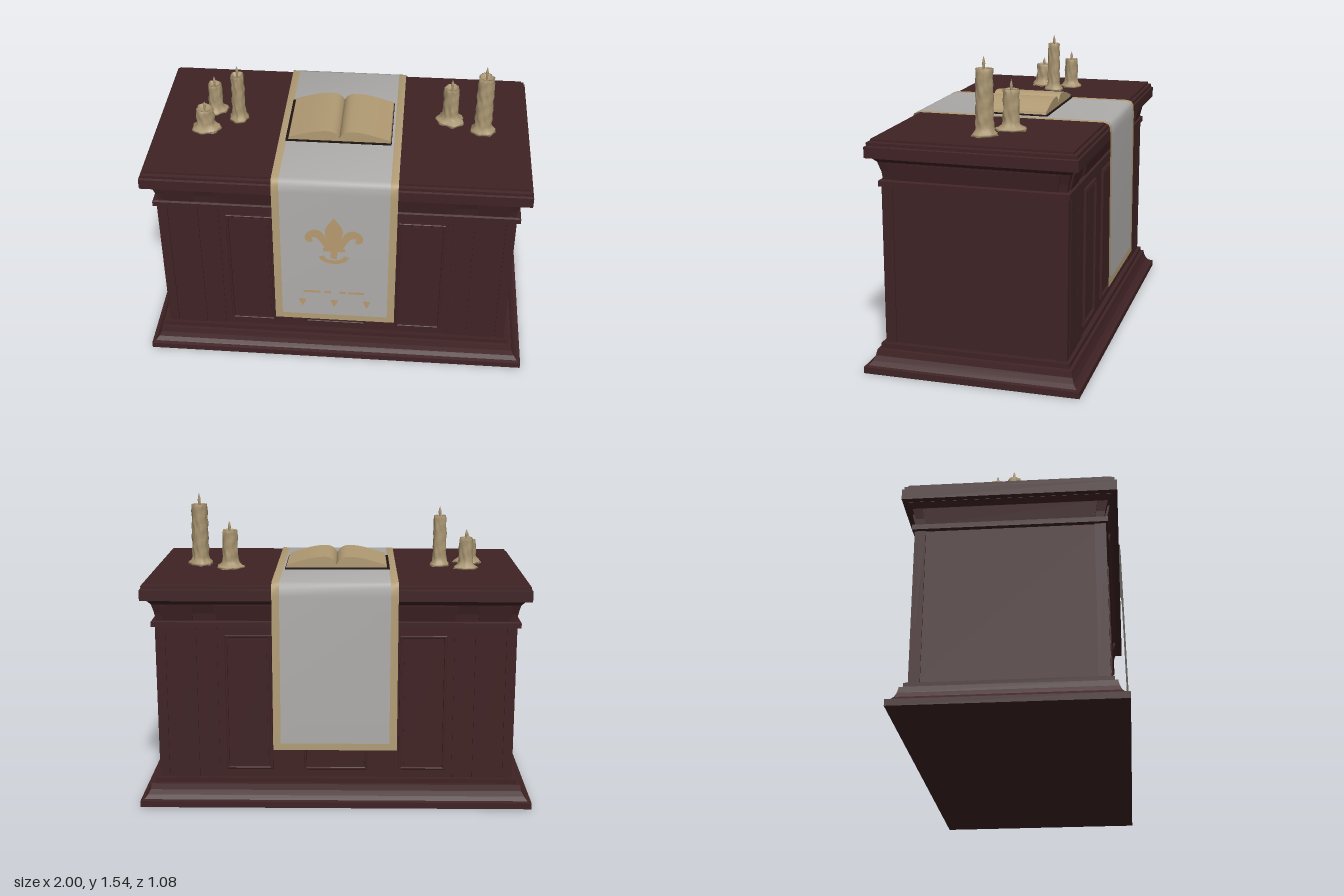
import * as THREE from 'three';
import { toCreasedNormals } from 'three/addons/utils/BufferGeometryUtils.js';

const mat = (name, color, side = THREE.FrontSide) => {
  const m = new THREE.MeshStandardMaterial({ color, side });
  m.name = name;
  return m;
};
const WOOD = mat('dark wood', 0x402325);
const CLOTH = mat('white cloth', 0xaeacaa, THREE.DoubleSide);
const GOLD = mat('gold trim', 0xb29d76, THREE.DoubleSide);
const EMBLEM = mat('emblem gold', 0xb89b70, THREE.DoubleSide);
const WAX = mat('wax', 0xaa9672);
const PAGE = mat('paper', 0xb29b74);
const COVER = mat('book cover', 0x1f1613);

function add(parent, name, geo, material) {
  const m = new THREE.Mesh(geo, material);
  m.name = name;
  parent.add(m);
  return m;
}

// Flat-faced solid through rectangles [x0, x1, z0, z1, y], bottom to top
function loft(rings) {
  const p = [];
  const corners = ([x0, x1, z0, z1, y]) => [[x0, y, z1], [x1, y, z1], [x1, y, z0], [x0, y, z0]];
  const quad = (a, b, c, d) => p.push(...a, ...b, ...c, ...a, ...c, ...d);
  for (let i = 0; i < rings.length - 1; i++) {
    const a = corners(rings[i]), b = corners(rings[i + 1]);
    for (let k = 0; k < 4; k++) quad(a[k], a[(k + 1) % 4], b[(k + 1) % 4], b[k]);
  }
  const lo = corners(rings[0]), hi = corners(rings[rings.length - 1]);
  quad(lo[3], lo[2], lo[1], lo[0]);
  quad(...hi);
  const g = new THREE.BufferGeometry();
  g.setAttribute('position', new THREE.Float32BufferAttribute(p, 3));
  g.computeVertexNormals();
  return g;
}
const centred = (list) => loft(list.map(([x, z, y]) => [-x, x, -z, z, y]));

function rectPath(target, x0, x1, y0, y1) {
  target.moveTo(x0, y0).lineTo(x1, y0).lineTo(x1, y1).lineTo(x0, y1).closePath();
  return target;
}

// Panels, pilasters and frieze blocks of one long face, built facing +z
function longFace() {
  const g = new THREE.Group();
  for (const x of [-0.44, 0, 0.44]) {
    const w = x ? 0.118 : 0.162;
    const s = rectPath(new THREE.Shape(), x - w, x + w, 0.18, 0.89);
    s.holes.push(rectPath(new THREE.Path(), x - w + 0.013, x + w - 0.013, 0.193, 0.877));
    const frame = add(g, 'panelFrame', new THREE.ExtrudeGeometry(s, {
      depth: 0.01, bevelThickness: 0.003, bevelSize: 0.003, bevelOffset: -0.003, bevelSegments: 1,
    }), WOOD);
    frame.position.z = 0.449;
    add(g, 'panelField', loft([[x - w + 0.025, x + w - 0.025, 0.44, 0.454, 0.205],
      [x - w + 0.025, x + w - 0.025, 0.44, 0.454, 0.865]]), WOOD);
  }
  for (const s of [-1, 1]) {
    const span = (a, b) => (s > 0 ? [a, b] : [-b, -a]);
    add(g, 'cornerPost', loft([[...span(0.855, 0.905), 0.44, 0.457, 0.13], [...span(0.855, 0.905), 0.44, 0.457, 0.94]]), WOOD);
    add(g, 'pilaster', loft([[...span(0.7, 0.845), 0.44, 0.457, 0.13], [...span(0.7, 0.845), 0.44, 0.457, 0.94]]), WOOD);
    add(g, 'stile', loft([[...span(0.595, 0.69), 0.44, 0.455, 0.13], [...span(0.595, 0.69), 0.44, 0.455, 0.94]]), WOOD);
    add(g, 'friezeBlock', loft([[...span(0.715, 0.865), 0.43, 0.458, 0.965],
      [...span(0.705, 0.875), 0.43, 0.477, 1.045]]), WOOD);
  }
  add(g, 'friezePanel', loft([[-0.59, 0.59, 0.43, 0.458, 0.965], [-0.61, 0.61, 0.43, 0.477, 1.045]]), WOOD);
  return g;
}

// Strip of cloth between x0 and x1 along [z, y] points
function ribbon(path, x0, x1) {
  const p = [], idx = [];
  path.forEach(([z, y], i) => {
    p.push(x0, y, z, x1, y, z);
    if (i) idx.push(2 * i - 2, 2 * i - 1, 2 * i + 1, 2 * i - 2, 2 * i + 1, 2 * i);
  });
  const g = new THREE.BufferGeometry();
  g.setAttribute('position', new THREE.Float32BufferAttribute(p, 3));
  g.setIndex(idx);
  return toCreasedNormals(g, 0.9);
}

const drapeZ = (y) => 0.538 - (y - 0.28) * 0.0158;

// Embroidery on the front drape
function embroidery() {
  const shapes = [];
  const petal = new THREE.Shape();
  petal.moveTo(0, 0.96).bezierCurveTo(0.025, 0.92, 0.05, 0.9, 0.045, 0.86)
    .bezierCurveTo(0.04, 0.82, 0.018, 0.8, 0.016, 0.7).lineTo(-0.016, 0.7)
    .bezierCurveTo(-0.018, 0.8, -0.04, 0.82, -0.045, 0.86).bezierCurveTo(-0.05, 0.9, -0.025, 0.92, 0, 0.96);
  shapes.push(petal);
  for (const s of [-1, 1]) {
    const leaf = new THREE.Shape();
    leaf.moveTo(0.022 * s, 0.765).bezierCurveTo(0.035 * s, 0.85, 0.07 * s, 0.895, 0.11 * s, 0.88)
      .bezierCurveTo(0.155 * s, 0.86, 0.16 * s, 0.81, 0.125 * s, 0.8)
      .bezierCurveTo(0.11 * s, 0.8, 0.1 * s, 0.81, 0.115 * s, 0.83)
      .bezierCurveTo(0.085 * s, 0.85, 0.065 * s, 0.8, 0.045 * s, 0.765);
    const foot = new THREE.Shape();
    foot.moveTo(0, 0.69).bezierCurveTo(0.025 * s, 0.69, 0.05 * s, 0.7, 0.05 * s, 0.72)
      .lineTo(0.078 * s, 0.71).bezierCurveTo(0.07 * s, 0.68, 0.03 * s, 0.665, 0, 0.665);
    shapes.push(leaf, foot);
  }
  shapes.push(rectPath(new THREE.Shape(), -0.055, 0.055, 0.745, 0.768));
  // Row of dashes and small drops near the hem
  for (const [x, w] of [[-0.115, 0.045], [-0.035, 0.018], [0.045, 0.018], [0.115, 0.04]]) {
    shapes.push(rectPath(new THREE.Shape(), x - w, x + w, 0.465, 0.48));
  }
  for (const x of [-0.165, 0, 0.17]) {
    const drop = new THREE.Shape();
    drop.moveTo(x, 0.37).lineTo(x + 0.014, 0.4).lineTo(x + 0.02, 0.42).lineTo(x - 0.02, 0.42).lineTo(x - 0.014, 0.4);
    shapes.push(drop);
  }
  const g = new THREE.ShapeGeometry(shapes, 8);
  const p = g.attributes.position;
  for (let i = 0; i < p.count; i++) p.setZ(i, drapeZ(p.getY(i)) + 0.002);
  return g;
}

// Half-melted candle with a wax puddle, drips and a pointed wick
function candle(x, z, r, top, tip, puddle, seed) {
  const g = new THREE.Group();
  g.name = 'candle';
  const h = top - 1.165, pts = [[0, 0], [puddle, 0], [puddle * 0.93, 0.008], [r * 1.4, 0.013], [r * 1.1, 0.025]];
  const n = Math.max(5, Math.round(h / 0.02));
  for (let i = 1; i <= n; i++) pts.push([r * (1.02 - 0.08 * i / n), 0.025 + (h - 0.025) * i / n]);
  pts.push([r * 0.78, h + 0.002], [r * 0.65, h - 0.012], [0, h - 0.014]);
  const geo = new THREE.LatheGeometry(pts.map(([a, b]) => new THREE.Vector2(a, b)), 24);
  const p = geo.attributes.position;
  for (let i = 0; i < p.count; i++) {
    const a = Math.atan2(p.getZ(i), p.getX(i)), y = p.getY(i);
    const k = 1 + 0.06 * Math.sin(3 * a + seed) + 0.07 * Math.sin(7 * a + seed * 2 + Math.sin(y * 45) * 1.5)
      + 0.05 * Math.sin(y * 95 + 2 * a + seed);
    p.setX(i, p.getX(i) * k);
    p.setZ(i, p.getZ(i) * k);
  }
  geo.computeVertexNormals();
  add(g, 'waxBody', geo, WAX);
  const t = tip - top + 0.014;
  const wick = [[0.004, 0], [0.006, t * 0.3], [0.008, t * 0.5], [0.005, t * 0.75], [0, t]];
  add(g, 'wick', new THREE.LatheGeometry(wick.map(([a, b]) => new THREE.Vector2(a, b)), 8), WAX).position.y = h - 0.014;
  g.position.set(x, 1.165, z);
  return g;
}

function openBook() {
  const g = new THREE.Group();
  g.name = 'openBook';
  add(g, 'bookCover', new THREE.BoxGeometry(0.54, 0.008, 0.375), COVER).position.set(-0.005, 1.178, 0);
  for (const s of [-1, 1]) {
    const sh = new THREE.Shape();
    sh.moveTo(0, 1.182).lineTo(s * 0.262, 1.182).lineTo(s * 0.258, 1.196)
      .bezierCurveTo(s * 0.2, 1.212, s * 0.15, 1.232, s * 0.09, 1.238)
      .bezierCurveTo(s * 0.05, 1.241, s * 0.02, 1.24, 0, 1.2);
    const geo = new THREE.ExtrudeGeometry(sh, { depth: 0.36, bevelEnabled: false, curveSegments: 10 });
    add(g, 'pages', toCreasedNormals(geo, 0.6), PAGE).position.z = -0.18;
  }
  return g;
}

export function createModel() {
  const model = new THREE.Group();

  // Plinth, body, waist moulding, flared frieze and table top
  add(model, 'plinth', centred([[1, 0.54, 0], [1, 0.54, 0.032], [0.982, 0.522, 0.036], [0.965, 0.505, 0.055],
    [0.952, 0.495, 0.08], [0.947, 0.488, 0.11], [0.928, 0.474, 0.112], [0.928, 0.474, 0.137]]), WOOD);
  add(model, 'body', centred([[0.898, 0.449, 0.13], [0.898, 0.449, 0.94]]), WOOD);
  add(model, 'waistMoulding', centred([[0.924, 0.467, 0.932], [0.924, 0.467, 0.958], [0.912, 0.458, 0.963]]), WOOD);
  add(model, 'frieze', centred([[0.898, 0.449, 0.95], [0.905, 0.455, 1.0], [0.918, 0.47, 1.05],
    [0.938, 0.497, 1.075], [0.938, 0.497, 1.085]]), WOOD);
  add(model, 'tableTop', centred([[0.968, 0.516, 1.076], [0.968, 0.516, 1.13], [0.96, 0.506, 1.134],
    [0.96, 0.506, 1.15], [0.945, 0.49, 1.154], [0.945, 0.49, 1.165]]), WOOD);

  const front = longFace(), back = longFace();
  front.name = 'frontFace';
  back.name = 'backFace';
  back.rotation.y = Math.PI;
  model.add(front, back);

  // Short ends: edge stiles and a tapered frieze panel
  for (const s of [-1, 1]) {
    const span = (a, b) => (s > 0 ? [a, b] : [-b, -a]);
    for (const z of [-0.43, 0.43]) {
      add(model, 'endStile', loft([[...span(0.88, 0.905), z - 0.027, z + 0.027, 0.13],
        [...span(0.88, 0.905), z - 0.027, z + 0.027, 0.94]]), WOOD);
    }
    add(model, 'endFriezePanel', loft([[...span(0.87, 0.908), -0.405, 0.405, 0.96],
      [...span(0.87, 0.924), -0.42, 0.42, 1.045]]), WOOD);
  }

  // Runner cloth with gold border
  const mid = [[0.525, 1.1], [0.522, 1.145], [0.512, 1.163], [0.49, 1.171],
    [-0.49, 1.171], [-0.512, 1.163], [-0.522, 1.145], [-0.525, 1.1]];
  const f0 = [0.538, 0.28], f1 = [drapeZ(0.315), 0.315], b0 = [-0.53, 0.31], b1 = [-0.5298, 0.345];
  add(model, 'runnerCloth', ribbon([f1, ...mid, b1], -0.272, 0.277), CLOTH);
  add(model, 'runnerBorderRight', ribbon([f0, ...mid, b0], -0.31, -0.272), GOLD);
  add(model, 'runnerBorderLeft', ribbon([f0, ...mid, b0], 0.277, 0.315), GOLD);
  add(model, 'frontHem', ribbon([f0, f1], -0.272, 0.277), GOLD);
  add(model, 'backHem', ribbon([b1, b0], -0.272, 0.277), GOLD);
  add(model, 'embroidery', embroidery(), EMBLEM);

  model.add(openBook());
  for (const c of [
    [-0.7, 0.085, 0.045, 1.285, 1.325, 0.072, 1],
    [-0.675, -0.085, 0.036, 1.325, 1.37, 0.062, 2.3],
    [-0.54, -0.015, 0.034, 1.43, 1.48, 0.052, 3.9],
    [0.56, -0.085, 0.04, 1.362, 1.41, 0.075, 5.1],
    [0.725, 0, 0.042, 1.485, 1.545, 0.062, 0.4],
  ]) model.add(candle(...c));

  return model;
}
